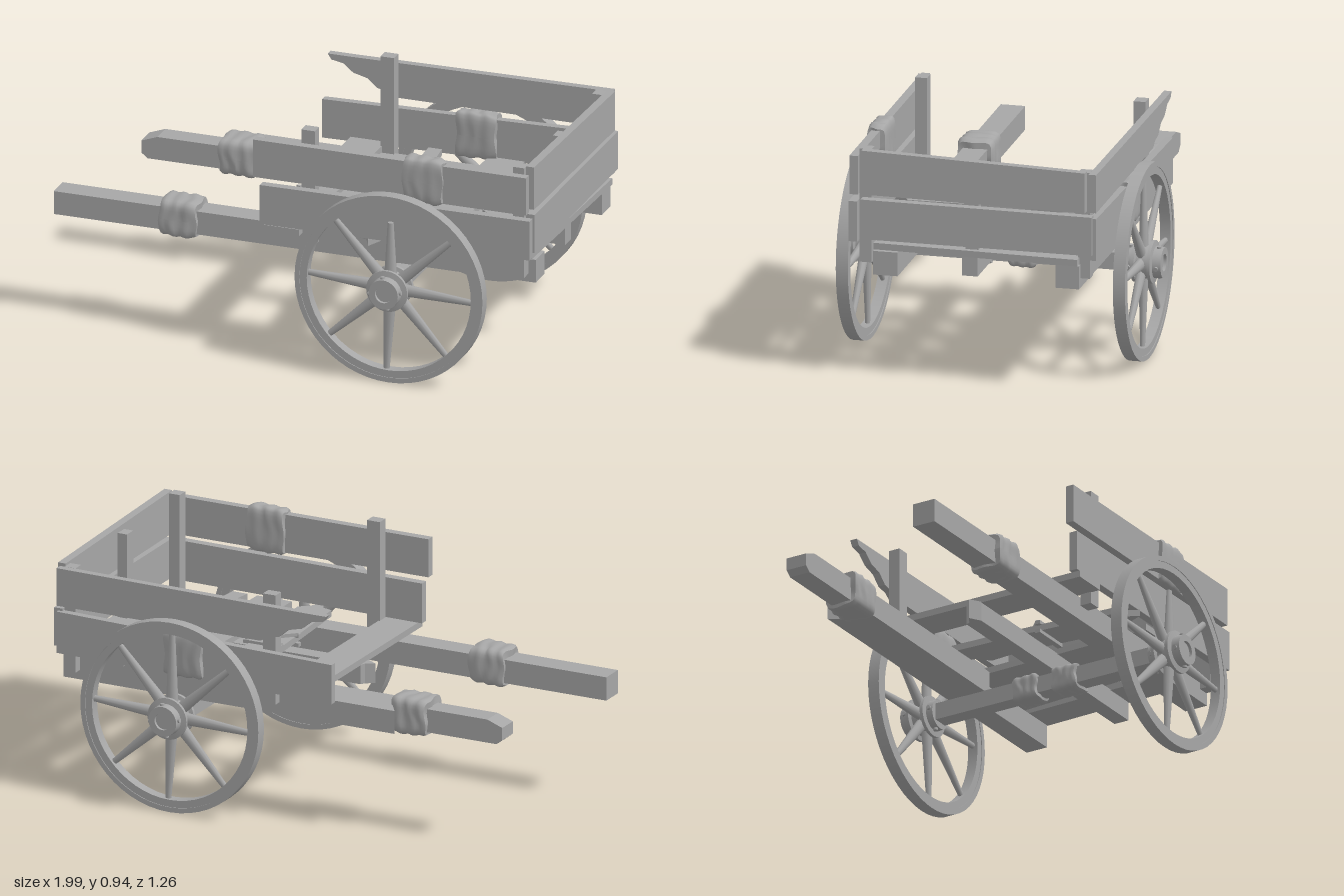
import * as THREE from 'three';

const wood = new THREE.MeshStandardMaterial({ color: 0xa6a6a6 });
wood.name = 'plain grey';

export function createModel() {
  const cart = new THREE.Group();
  cart.name = 'handCart';

  const add = (name, geo, parent = cart) => {
    const m = new THREE.Mesh(geo, wood);
    m.name = name;
    parent.add(m);
    return m;
  };
  const box = (name, x0, x1, y0, y1, z0, z1) => add(name,
    new THREE.BoxGeometry(x1 - x0, y1 - y0, z1 - z0)
      .translate((x0 + x1) / 2, (y0 + y1) / 2, (z0 + z1) / 2));
  const extrude = (pts, depth) => new THREE.ExtrudeGeometry(
    new THREE.Shape(pts.map(p => new THREE.Vector2(p[0], p[1]))),
    { depth, bevelEnabled: false });

  // Outline in x,z, thick in y
  const flat = (name, pts, y0, y1) => add(name,
    extrude(pts.map(([x, z]) => [x, -z]), y1 - y0).rotateX(-Math.PI / 2).translate(0, y0, 0));
  // Outline in x,y, thick in z
  const side = (name, pts, z0, z1) => add(name, extrude(pts, z1 - z0).translate(0, 0, z0));
  // Outline in z,y, thick in x
  const end = (name, pts, x0, x1) => add(name,
    extrude(pts.map(([z, y]) => [-z, y]), x1 - x0).rotateY(Math.PI / 2).translate(x0, 0, 0));

  // Lumpy cloth binding: a cylinder squared off and rippled
  const wrap = (name, axis, len, a, b, pos, seed) => {
    const g = new THREE.CylinderGeometry(1, 1, len, 40, 14);
    const p = g.attributes.position;
    for (let i = 0; i < p.count; i++) {
      const x = p.getX(i), y = p.getY(i), z = p.getZ(i);
      const r = Math.hypot(x, z);
      if (r < 0.01) continue;
      const ang = Math.atan2(z, x), t = y / len * 2;
      const c = Math.cos(ang), s = Math.sin(ang);
      const square = (c ** 6 + s ** 6) ** (-1 / 6);
      const ripple = 0.95 + 0.03 * Math.sin(t * 9 + 1.2 * Math.sin(ang * 2 + seed))
        + 0.02 * Math.sin(ang * 3 + seed + t * 2) - 0.08 * Math.abs(t) ** 8;
      const k = r * square * ripple;
      p.setXYZ(i, c * k * a, y + 0.004 * Math.sin(ang * 4 + seed) * Math.sign(t), s * k * b);
    }
    if (axis === 'x') g.rotateZ(Math.PI / 2); else g.rotateX(Math.PI / 2);
    g.computeVertexNormals();
    add(name, g.translate(...pos));
  };

  // Shafts and centre beam
  box('shaft', -1, 0.98, 0.43, 0.525, 0.29, 0.387);
  flat('brokenShaft', [[-0.46, -0.435], [0.98, -0.43], [0.98, -0.337], [-0.4, -0.345]], 0.432, 0.525);
  side('spliceShaft', [[-0.885, 0.45], [-0.86, 0.43], [0.45, 0.43], [0.45, 0.524], [-0.82, 0.524], [-0.885, 0.5]], -0.355, -0.267);
  flat('centreBeam', [[-0.145, 0.01], [-0.11, -0.01], [-0.1, -0.028], [0.97, -0.025], [0.97, 0.038], [-0.1, 0.038]], 0.45, 0.53);
  wrap('shaftBinding', 'x', 0.15, 0.077, 0.075, [-0.485, 0.485, 0.342], 1);
  wrap('shaftBinding', 'x', 0.15, 0.077, 0.075, [-0.485, 0.485, -0.312], 3);

  // Floor planks, two of them broken
  const planks = [
    [[-0.1, -0.465], [0.045, -0.465], [0.045, 0.485], [-0.1, 0.485]],
    [[0.22, -0.465], [0.275, -0.465], [0.285, -0.37], [0.32, -0.33], [0.33, -0.25], [0.375, -0.21], [0.365, -0.08],
      [0.39, 0.2], [0.395, 0.4], [0.36, 0.42], [0.33, 0.49], [0.3, 0.43], [0.26, 0.42], [0.235, 0]],
    [[0.468, -0.465], [0.615, -0.465], [0.595, 0.445], [0.445, 0.445]],
    [[0.7, -0.465], [0.835, -0.465], [0.795, 0.1], [0.785, 0.26], [0.75, 0.27], [0.735, 0.31], [0.71, 0.32],
      [0.7, 0.44], [0.635, 0.44], [0.665, 0.25], [0.69, 0.1], [0.635, 0.05]],
    [[0.855, -0.425], [0.99, -0.425], [0.965, 0.39], [0.83, 0.38]],
  ];
  planks.forEach((pts, i) => flat('floorPlank', pts, 0.527 + 0.002 * (i % 2), 0.553 + 0.002 * (i % 2)));

  // Crossed lashing over the split plank
  const strap = (x0, z0, x1, z1, y) => {
    const m = add('lashing', new THREE.BoxGeometry(Math.hypot(x1 - x0, z1 - z0), 0.014, 0.022));
    m.position.set((x0 + x1) / 2, y, (z0 + z1) / 2);
    m.rotation.y = -Math.atan2(z1 - z0, x1 - x0);
  };
  strap(0.235, -0.055, 0.385, 0.09, 0.562);
  strap(0.235, 0.09, 0.385, -0.055, 0.565);
  strap(0.225, -0.055, 0.39, -0.055, 0.559);
  strap(0.225, 0.09, 0.39, 0.09, 0.559);
  for (const z of [-0.055, 0.09]) box('lashingEnd', 0.225, 0.39, 0.515, 0.53, z - 0.011, z + 0.011);

  // Upright posts
  for (const [z0, z1, top] of [[0.4, 0.447, 0.955], [-0.467, -0.42, 0.925]]) {
    box('sidePost', 0.04, 0.095, 0.48, top, z0, z1);
    box('cornerPost', 0.908, 0.955, 0.47, top - 0.03, z0, z1);
  }
  box('endPost', 0.915, 0.955, 0.5, 0.895, -0.025, 0.028);

  // Side boards; the rear upper one is snapped to a point
  side('frontUpperBoard', [[-0.145, 0.745], [0.975, 0.745], [0.975, 0.9], [-0.145, 0.9]], 0.449, 0.483);
  side('frontLowerBoard', [[-0.118, 0.553], [0.99, 0.56], [0.99, 0.722], [-0.118, 0.715]], 0.449, 0.483);
  side('rearUpperBoard', [[-0.195, 0.885], [-0.18, 0.862], [-0.13, 0.853], [-0.09, 0.82], [-0.03, 0.805], [0.01, 0.77],
    [0.06, 0.762], [0.09, 0.742], [0.975, 0.742], [0.975, 0.895], [-0.1, 0.885]], -0.497, -0.467);
  side('rearLowerBoard', [[-0.218, 0.532], [0.975, 0.55], [0.975, 0.718], [-0.218, 0.692]], -0.497, -0.467);
  wrap('boardBinding', 'x', 0.16, 0.095, 0.041, [0.555, 0.828, 0.464], 2);
  wrap('boardBinding', 'x', 0.16, 0.098, 0.041, [0.42, 0.635, -0.48], 5);

  // Tail boards
  end('tailUpperBoard', [[0.432, 0.752], [-0.455, 0.742], [-0.455, 0.903], [0.432, 0.928]], 0.957, 0.99);
  end('tailLowerBoard', [[0.435, 0.573], [-0.482, 0.573], [-0.482, 0.728], [0.435, 0.732]], 0.957, 0.993);

  // Axle with bindings
  const cx = 0.445, cy = 0.396;
  box('axle', cx - 0.033, cx + 0.033, 0.363, 0.431, -0.5, 0.5);
  wrap('axleBinding', 'z', 0.104, 0.055, 0.053, [cx, 0.397, 0.099], 4);
  wrap('axleBinding', 'z', 0.104, 0.055, 0.053, [cx, 0.397, -0.079], 6);

  // Wheels, built facing +z around their own centre
  const v = (r, z) => new THREE.Vector2(r, z);
  const lathe = (pts, seg) => new THREE.LatheGeometry(pts, seg).toNonIndexed().rotateX(Math.PI / 2);
  // Each straight run gets its own lathe strip so edges stay sharp
  const ring = (name, pts, parent) => {
    for (let i = 0; i < pts.length - 1; i++) add(name, lathe([v(...pts[i]), v(...pts[i + 1])], 56), parent);
  };
  for (const s of [1, -1]) {
    const wheel = new THREE.Group();
    wheel.name = s > 0 ? 'frontWheel' : 'rearWheel';
    wheel.position.set(cx, cy, s * 0.55);
    if (s < 0) wheel.rotation.y = Math.PI;
    cart.add(wheel);

    // Wooden rim with a slightly proud tyre
    ring('rim', [[0.337, 0.021], [0.337, -0.021], [0.366, -0.021], [0.366, -0.024], [0.386, -0.024],
      [0.386, 0.024], [0.366, 0.024], [0.366, 0.021], [0.337, 0.021]], wheel);

    // Stepped hub, flanges and hollow end cap
    ring('hub', [[0, -0.062], [0.058, -0.062], [0.06, -0.035], [0.082, -0.033], [0.082, -0.02], [0.066, -0.016],
      [0.066, 0.028], [0.084, 0.032], [0.084, 0.044], [0.062, 0.048], [0.06, 0.082], [0.034, 0.082], [0.034, 0.07], [0, 0.07]], wheel);
    for (let i = 0; i < 4; i++) {
      const a = i * Math.PI / 2 + 0.15;
      for (const z of [0.064, -0.048]) {
        const pin = add('hubPin', new THREE.CylinderGeometry(0.009, 0.009, 0.012, 10), wheel);
        pin.position.set(Math.cos(a) * 0.062, Math.sin(a) * 0.062, z);
        pin.rotation.z = a - Math.PI / 2;
      }
    }

    // Tapered spokes, one snapped short on the front wheel
    for (let i = 0; i < 8; i++) {
      const a = Math.PI / 2 - i * Math.PI / 4 - (i ? 0.05 : 0);
      const r1 = s > 0 && i === 0 ? 0.27 : 0.345;
      const g = new THREE.CylinderGeometry(0.012, 0.025, r1 - 0.05, 10);
      g.translate(0, (r1 + 0.05) / 2, 0).scale(1, 1, 0.8);
      add('spoke', g, wheel).rotation.z = a - Math.PI / 2;
    }
  }
  return cart;
}
